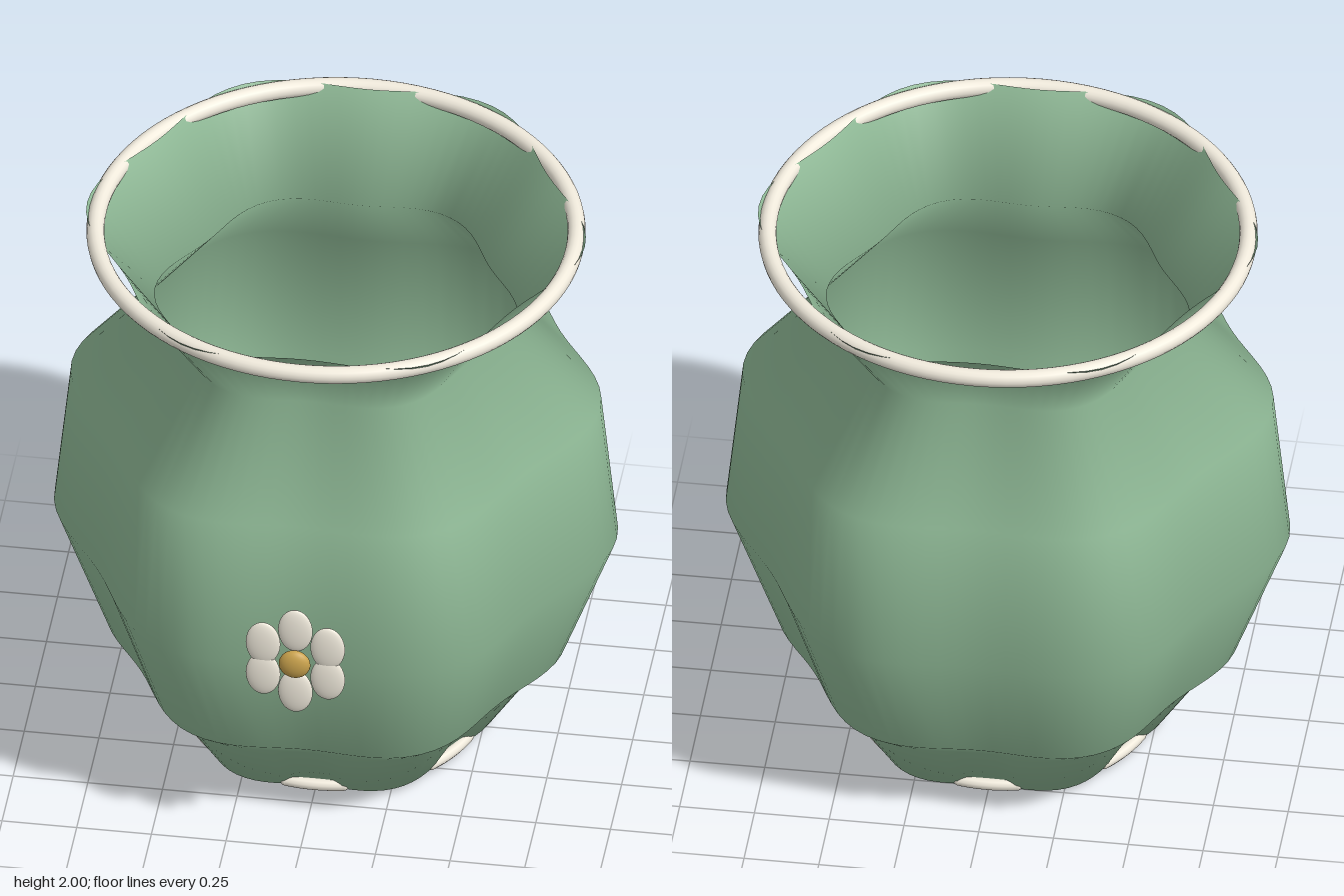
import * as THREE from 'three';
import { mergeVertices } from 'three/addons/utils/BufferGeometryUtils.js';

const CENTER_Z = -0.045;
const LOBES = 6;

export function createModel() {
  const model = new THREE.Group();
  model.name = 'flowerVase';

  const green = new THREE.MeshStandardMaterial({ color: 0x8fb996, side: THREE.DoubleSide });
  const cream = new THREE.MeshStandardMaterial({ color: 0xf0eadc });
  const gold = new THREE.MeshStandardMaterial({ color: 0xc9a24d });

  const add = (parent, name, geometry, material, x, y, z) => {
    const mesh = new THREE.Mesh(geometry, material);
    mesh.name = name;
    mesh.position.set(x, y, z);
    parent.add(mesh);
    return mesh;
  };

  // Vase: thin open lathe, its radius rippled into six lobes
  const profile = [
    [0, 0.005], [0.505, 0.03], [0.655, 0.27], [0.73, 0.335], [0.895, 0.8],
    [0.842, 1.333], [0.576, 1.667], [0.793, 1.995],
  ].map(([r, y]) => new THREE.Vector2(r, y));
  let body = new THREE.LatheGeometry(profile, 96);
  body.deleteAttribute('uv');
  body.deleteAttribute('normal');
  const pos = body.attributes.position;
  for (let i = 0; i < pos.count; i++) {
    const x = pos.getX(i), y = pos.getY(i), z = pos.getZ(i);
    const wave = Math.cos(LOBES * Math.atan2(z, x));
    let k = 1 + 0.051 * wave;
    if (y < 0.1 && wave < -0.5) k -= 0.035; // small dents at the foot
    pos.setXYZ(i, x * k, y, z * k);
  }
  body = mergeVertices(body, 1e-4);
  body.computeVertexNormals();
  add(model, 'vaseBody', body, green, 0, 0, CENTER_Z);

  // Rim ring, partly sunk into the lobes
  const rim = add(model, 'rimRing', new THREE.TorusGeometry(0.797, 0.03, 16, 96), cream, 0, 1.97, CENTER_Z);
  rim.rotation.x = Math.PI / 2;

  // Short base trims in the valleys between the lobes
  const arc = 0.4, trimRadius = 0.49, tube = 0.02;
  class ArcCurve extends THREE.Curve {
    getPoint(t, target = new THREE.Vector3()) {
      const a = (t - 0.5) * arc;
      return target.set(trimRadius * Math.cos(a), 0, trimRadius * Math.sin(a));
    }
  }
  const trimGeometry = new THREE.TubeGeometry(new ArcCurve(), 12, tube, 10);
  const capGeometry = new THREE.SphereGeometry(tube, 10, 8);
  for (let i = 0; i < LOBES; i++) {
    const trim = new THREE.Group();
    trim.name = 'baseTrim';
    trim.position.set(0, 0.042, CENTER_Z);
    trim.rotation.y = (i + 0.5) * Math.PI / 3;
    add(trim, 'trimArc', trimGeometry, cream, 0, 0, 0);
    for (const s of [-1, 1]) {
      add(trim, 'trimEnd', capGeometry, cream,
        trimRadius * Math.cos(arc / 2), 0, s * trimRadius * Math.sin(arc / 2));
    }
    model.add(trim);
  }

  // Flower in front: six upright oval petals around a button
  const flower = new THREE.Group();
  flower.name = 'flower';
  flower.position.set(0, 0.867, 0.87);
  const ball = new THREE.SphereGeometry(1, 24, 16);
  for (let i = 0; i < 6; i++) {
    const a = Math.PI / 2 + i * Math.PI / 3;
    add(flower, 'petal', ball, cream, 0.125 * Math.cos(a), 0.125 * Math.sin(a), 0)
      .scale.set(0.058, 0.084, 0.018);
  }
  add(flower, 'flowerCenter', ball, gold, 0, 0, 0.018).scale.set(0.053, 0.053, 0.027);
  model.add(flower);

  return model;
}
